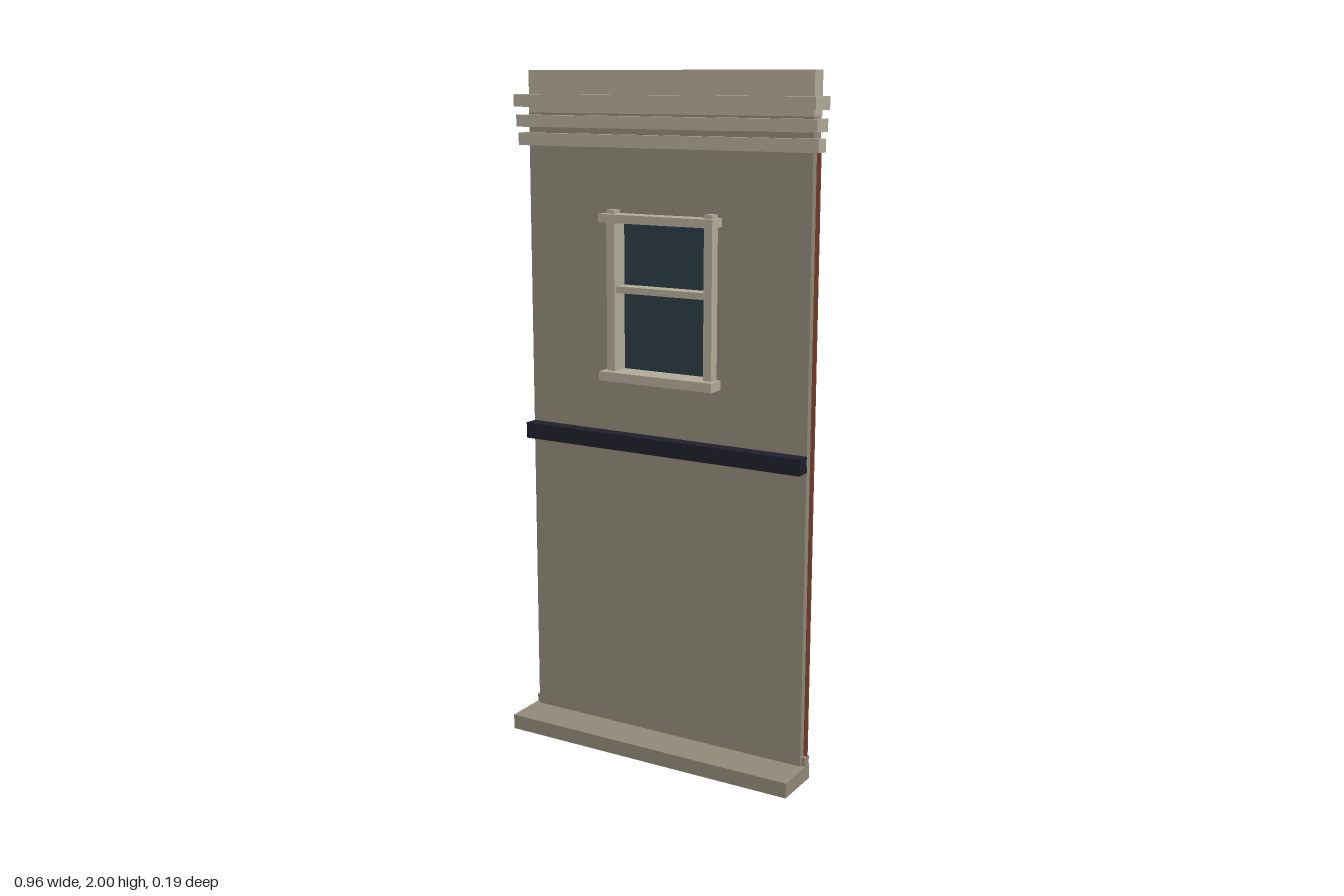
import * as THREE from 'three';

export function createModel() {
  const model = new THREE.Group();
  model.name = 'facadePanel';

  const mat = (name, color) => {
    const m = new THREE.MeshStandardMaterial({ color });
    m.name = name;
    return m;
  };
  const trim = mat('light stone', 0xb4ad9a);
  const stone = mat('wall stone', 0x938b7a);
  const dark = mat('dark metal', 0x20202d);
  const glass = mat('window glass', 0x2d3b46);
  const brick = mat('red brick', 0x8a4a36);

  // Box given by its extents on each axis
  const box = (name, material, x0, x1, y0, y1, z0, z1, parent = model) => {
    const mesh = new THREE.Mesh(new THREE.BoxGeometry(x1 - x0, y1 - y0, z1 - z0), material);
    mesh.position.set((x0 + x1) / 2, (y0 + y1) / 2, (z0 + z1) / 2);
    mesh.name = name;
    parent.add(mesh);
    return mesh;
  };

  // Wall slab with a window opening
  const outline = new THREE.Shape([
    [-0.456, 0], [0.456, 0], [0.456, 1.88], [-0.456, 1.88],
  ].map(([x, y]) => new THREE.Vector2(x, y)));
  outline.holes.push(new THREE.Path([
    [-0.16, 1.135], [-0.16, 1.59], [0.16, 1.59], [0.16, 1.135],
  ].map(([x, y]) => new THREE.Vector2(x, y))));
  const wall = new THREE.Mesh(
    new THREE.ExtrudeGeometry(outline, { depth: 0.045, bevelEnabled: false }), stone);
  wall.position.z = -0.0725;
  wall.name = 'wall';
  model.add(wall);

  // Parapet and the three cornice bands, stepping outward toward the top
  box('parapet', trim, -0.456, 0.456, 1.88, 2, -0.0775, -0.0275);
  [
    [1.897, 1.932, -0.073, 0.015],
    [1.84, 1.874, -0.063, 0.004],
    [1.787, 1.823, -0.053, -0.006],
  ].forEach(([y0, y1, z0, z1], i) =>
    box('corniceBand' + (i + 1), trim, -0.48, 0.48, y0, y1, z0, z1));

  // Base ledge, brick edge strips and their small feet
  box('baseLedge', stone, -0.47, 0.47, 0, 0.045, -0.06, 0.0925);
  for (const s of [-1, 1]) {
    const side = s < 0 ? 'right' : 'left';
    const a = Math.min(s * 0.45, s * 0.468), b = Math.max(s * 0.45, s * 0.468);
    box(side + 'BrickEdge', brick, a, b, 0.045, 1.8, -0.052, -0.049);
    box(side + 'Foot', stone, a, b, 0.04, 0.07, -0.06, -0.035);
  }

  // Dark rail across the front
  box('rail', dark, -0.456, 0.456, 0.917, 0.964, -0.03, 0.015);

  // Window with a frame lining the opening
  const win = new THREE.Group();
  win.name = 'window';
  model.add(win);
  box('glass', glass, -0.16, 0.16, 1.135, 1.59, -0.058, -0.05, win);
  for (const s of [-1, 1]) {
    const x = s * 0.159;
    box('framePost', trim, x - 0.013, x + 0.013, 1.117, 1.613, -0.05, 0.005, win);
  }
  box('frameHead', trim, -0.185, 0.185, 1.579, 1.603, -0.05, 0.0285, win);
  box('frameSill', trim, -0.185, 0.185, 1.123, 1.15, -0.05, 0.0285, win);
  box('middleBar', trim, -0.15, 0.15, 1.377, 1.396, -0.05, -0.003, win);

  // Dark cover over the opening at the back
  box('backCover', dark, -0.168, 0.168, 1.13, 1.6, -0.0925, -0.0715);

  return model;
}
